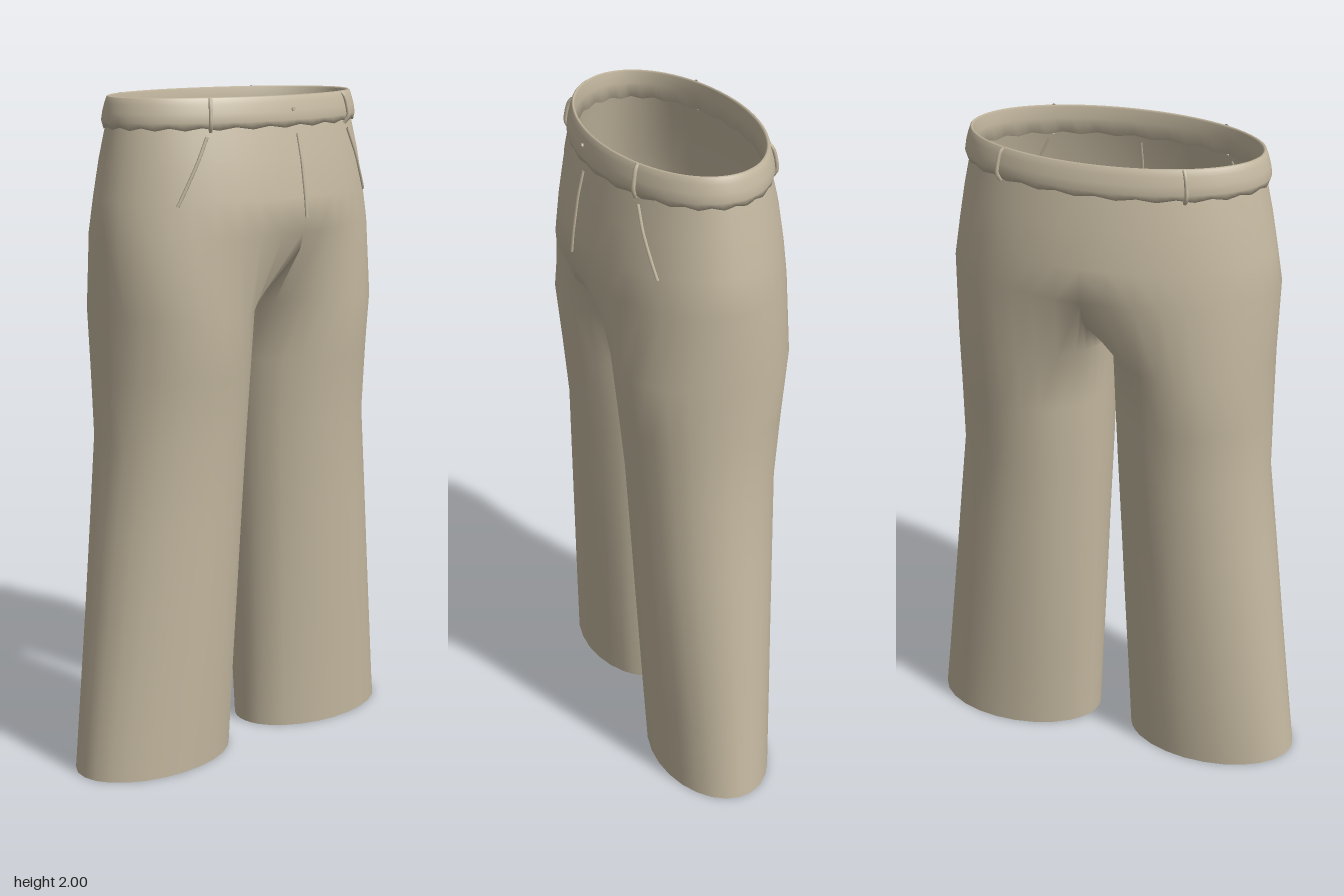
import * as THREE from 'three';
import { mergeVertices } from 'three/addons/utils/BufferGeometryUtils.js';

// Hip ellipses: height, half width, half depth
const HIPS = [[1.93, 0.437, 0.25], [1.82, 0.46, 0.277], [1.71, 0.479, 0.294], [1.61, 0.495, 0.304]];
// Leg ellipses: height, inner x, outer x, half depth
const LEGS = [[1.38, 0.008, 0.485, 0.26], [1.2, 0.012, 0.485, 0.24], [1.0, 0.018, 0.486, 0.22],
  [0.75, 0.029, 0.515, 0.209], [0.5, 0.039, 0.543, 0.198], [0.25, 0.05, 0.572, 0.187], [0, 0.06, 0.602, 0.175]];
const OUTER = 20, INNER = 10; // columns round the outside and the inside of a leg

// Point on the hip surface, at x and y
function onHip(x, y, lift = 0) {
  let i = 0;
  while (i < HIPS.length - 2 && HIPS[i + 1][0] > y) i++;
  const [a, b] = [HIPS[i], HIPS[i + 1]];
  const t = (y - a[0]) / (b[0] - a[0]);
  const rx = a[1] + (b[1] - a[1]) * t, rz = a[2] + (b[2] - a[2]) * t;
  return new THREE.Vector3(x, y, rz * Math.sqrt(1 - (x / rx) ** 2) + lift);
}

// Joined surface of hips, crotch and both legs
function trouserGeometry() {
  const pos = [], index = [];
  const n = OUTER + INNER;
  for (const side of [1, -1]) {
    const rows = [];
    const add = (x, y, z) => { pos.push(side * x, y, z); return pos.length / 3 - 1; };
    const quad = (a, b, c, d) => side > 0
      ? index.push(a, c, b, b, c, d) : index.push(a, b, c, b, d, c);
    // half ellipses of the hips
    for (const [y, rx, rz] of HIPS) {
      const row = [];
      for (let k = 0; k <= OUTER; k++) {
        const f = Math.PI * k / OUTER;
        row.push(add(rx * Math.sin(f), y, rz * Math.cos(f)));
      }
      rows.push(row);
    }
    // crotch seam closes the lowest hip row, from back to front
    const [hy, , hz] = HIPS[HIPS.length - 1];
    for (let k = 1; k < INNER; k++) {
      const f = Math.PI * k / INNER;
      rows[rows.length - 1].push(add(0, hy - 0.17 * Math.sin(f), -hz * Math.cos(f)));
    }
    // full leg ellipses
    for (const [y, xi, xo, rz] of LEGS) {
      const row = [];
      for (let k = 0; k < n; k++) {
        const deg = k <= OUTER ? -50 + 280 * k / OUTER : 230 + 80 * (k - OUTER) / INNER;
        const f = THREE.MathUtils.degToRad(deg);
        row.push(add((xi + xo) / 2 + (xo - xi) / 2 * Math.sin(f), y, rz * Math.cos(f)));
      }
      rows.push(row);
    }
    for (let r = 0; r < rows.length - 1; r++) {
      const [u, d] = [rows[r], rows[r + 1]];
      const count = r < HIPS.length - 1 ? OUTER : n;
      for (let k = 0; k < count; k++) {
        const m = count === n ? (k + 1) % n : k + 1;
        quad(u[k], u[m], d[k], d[m]);
      }
    }
  }
  const g = new THREE.BufferGeometry();
  g.setAttribute('position', new THREE.Float32BufferAttribute(pos, 3));
  g.setIndex(index);
  const merged = mergeVertices(g, 1e-4);
  merged.computeVertexNormals();
  return merged;
}

// Elliptical band with a softly gathered lower edge
function waistbandGeometry() {
  const profile = [[-0.012, 1.915], [0.012, 1.912], [0.017, 1.93], [0.013, 1.955], [0.006, 1.98],
    [0, 1.997], [-0.005, 2], [-0.01, 1.995], [-0.011, 1.96], [-0.012, 1.915]];
  let g = new THREE.LatheGeometry(profile.map(([o, y]) => new THREE.Vector2(1 + o, y)), 96);
  const p = g.attributes.position;
  for (let i = 0; i < p.count; i++) {
    const f = Math.atan2(p.getX(i), p.getZ(i));
    const o = Math.hypot(p.getX(i), p.getZ(i)) - 1;
    const y = p.getY(i);
    const wave = y < 1.92 ? 0.004 * Math.sin(24 * f) : 0;
    p.setXYZ(i, (0.437 + o) * Math.sin(f), y + wave, (0.245 + o) * Math.cos(f));
  }
  g.deleteAttribute('uv');
  g.deleteAttribute('normal');
  g = mergeVertices(g, 1e-4);
  g.computeVertexNormals();
  return g;
}

export function createModel() {
  const model = new THREE.Group();
  model.name = 'trousers';
  const cloth = new THREE.MeshStandardMaterial({ color: 0xc4b8a0, side: THREE.DoubleSide });
  cloth.name = 'beige cloth';
  const addMesh = (name, geometry) => {
    const mesh = new THREE.Mesh(geometry, cloth);
    mesh.name = name;
    model.add(mesh);
    return mesh;
  };

  addMesh('hipsAndLegs', trouserGeometry());
  addMesh('waistband', waistbandGeometry());

  // Belt loops, two in front and two behind
  for (const sx of [1, -1]) for (const sz of [1, -1]) {
    const f = Math.asin(0.275 / 0.452);
    const path = new THREE.CatmullRomCurve3([[0.009, 1.905], [0.021, 1.925], [0.018, 1.955], [0.009, 1.985], [-0.002, 1.997]]
      .map(([o, y]) => new THREE.Vector3(sx * (0.437 + o) * Math.sin(f), y, sz * (0.245 + o) * Math.cos(f))));
    addMesh('beltLoop', new THREE.TubeGeometry(path, 10, 0.006, 6));
  }

  // Raised seam lying on the front of the hips
  const seam = (name, x0, y0, x1, y1) => {
    const pts = [];
    for (let i = 0; i <= 6; i++) {
      const t = i / 6;
      pts.push(onHip(x0 + (x1 - x0) * t, y0 + (y1 - y0) * t, 0.001));
    }
    addMesh(name, new THREE.TubeGeometry(new THREE.CatmullRomCurve3(pts), 12, 0.005, 6));
  };
  seam('leftPocketEdge', 0.285, 1.89, 0.38, 1.7);
  seam('rightPocketEdge', -0.285, 1.89, -0.38, 1.7);
  seam('flySeam', 0.015, 1.89, 0.015, 1.65);

  // Small waist button
  const button = addMesh('button', new THREE.CylinderGeometry(0.006, 0.006, 0.008, 12));
  button.rotation.x = Math.PI / 2;
  button.position.set(0, 1.96, 0.257);

  return model;
}
